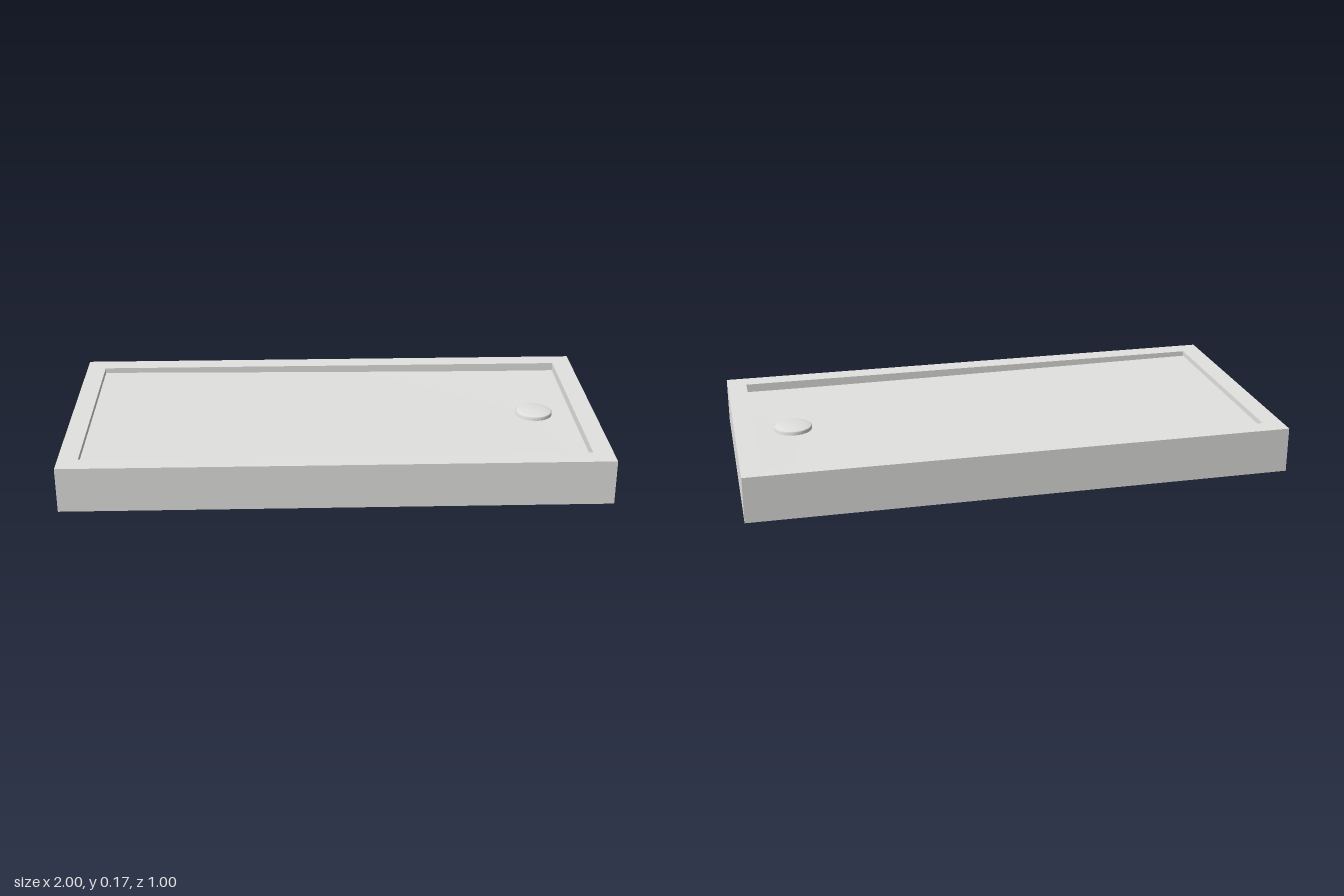
import * as THREE from 'three';

export function createModel() {
  const group = new THREE.Group();
  const enamel = new THREE.MeshStandardMaterial({ color: 0xe2e2e0 });
  enamel.name = 'pale grey enamel';
  const resin = new THREE.MeshStandardMaterial({ color: 0xe2d9bd });
  resin.name = 'beige resin backing';

  const add = (name, geometry, material) => {
    const mesh = new THREE.Mesh(geometry, material);
    mesh.name = name;
    group.add(mesh);
    return mesh;
  };

  const rect = (Type, hx, hz) => {
    const p = new Type();
    p.moveTo(-hx, -hz);
    p.lineTo(hx, -hz);
    p.lineTo(hx, hz);
    p.lineTo(-hx, hz);
    p.closePath();
    return p;
  };

  // Extrude a plan shape upwards from y0 to y1
  const raise = (shape, y0, y1) =>
    new THREE.ExtrudeGeometry(shape, { depth: y1 - y0, bevelEnabled: false, curveSegments: 48 })
      .rotateX(-Math.PI / 2)
      .translate(0, y0, 0);

  // Rectangular ring, given by its outer half sizes and wall widths
  const frame = (hx, hz, width, y0, y1) => {
    const shape = rect(THREE.Shape, hx, hz);
    shape.holes.push(rect(THREE.Path, hx - width, hz - width));
    return raise(shape, y0, y1);
  };

  const H = 0.17, rimBottom = 0.146, ceiling = 0.116;
  const drainX = 0.78;

  // Rim and outer skirt, with the resin layer behind them
  add('rim', frame(1, 0.5, 0.074, rimBottom, H), enamel);
  add('skirt', frame(1, 0.5, 0.021, 0, rimBottom), enamel);
  add('skirtBacking', frame(0.979, 0.479, 0.004, 0.001, rimBottom), resin);
  add('rimBacking', frame(0.975, 0.475, 0.035, rimBottom - 0.004, rimBottom), resin);

  // Basin walls
  add('basinWall', frame(0.94, 0.44, 0.014, ceiling, rimBottom), enamel);
  add('basinWallBacking', frame(0.944, 0.444, 0.004, ceiling, rimBottom), resin);

  // Basin floor, falling gently towards the drain
  const floor = new THREE.PlaneGeometry(1.854, 0.854, 36, 18).rotateX(-Math.PI / 2);
  const pos = floor.attributes.position;
  for (let i = 0; i < pos.count; i++) {
    const d = Math.hypot(pos.getX(i) - drainX, pos.getZ(i));
    pos.setY(i, 0.134 + 0.009 * d);
  }
  floor.computeVertexNormals();
  add('basinFloor', floor, enamel);
  add('floorBacking', new THREE.BoxGeometry(1.886, 0.006, 0.886).translate(0, ceiling + 0.003, 0), resin);

  // Support block under the floor, notched around the drain
  const bx = 0.92, bz = 0.415, r = 0.21;
  const a = Math.acos((bx - drainX) / r);
  const block = new THREE.Shape();
  block.moveTo(-bx, -bz);
  block.lineTo(bx, -bz);
  block.lineTo(bx, -r * Math.sin(a));
  block.absarc(drainX, 0, r, -a, a, true);
  block.lineTo(bx, bz);
  block.lineTo(-bx, bz);
  block.closePath();
  add('supportBlock', raise(block, 0.013, ceiling), enamel);

  // Low domed drain cover and the drain seat below it
  const capProfile = [[0.07, 0.13], [0.07, 0.146], [0.066, 0.149], [0.045, 0.152], [0.02, 0.1535], [0, 0.154]]
    .map(([x, y]) => new THREE.Vector2(x, y));
  add('drainCover', new THREE.LatheGeometry(capProfile, 48), enamel).position.x = drainX;
  add('drainSeat', new THREE.CylinderGeometry(0.07, 0.07, 0.004, 48), resin).position.set(drainX, ceiling - 0.001, 0);

  return group;
}
